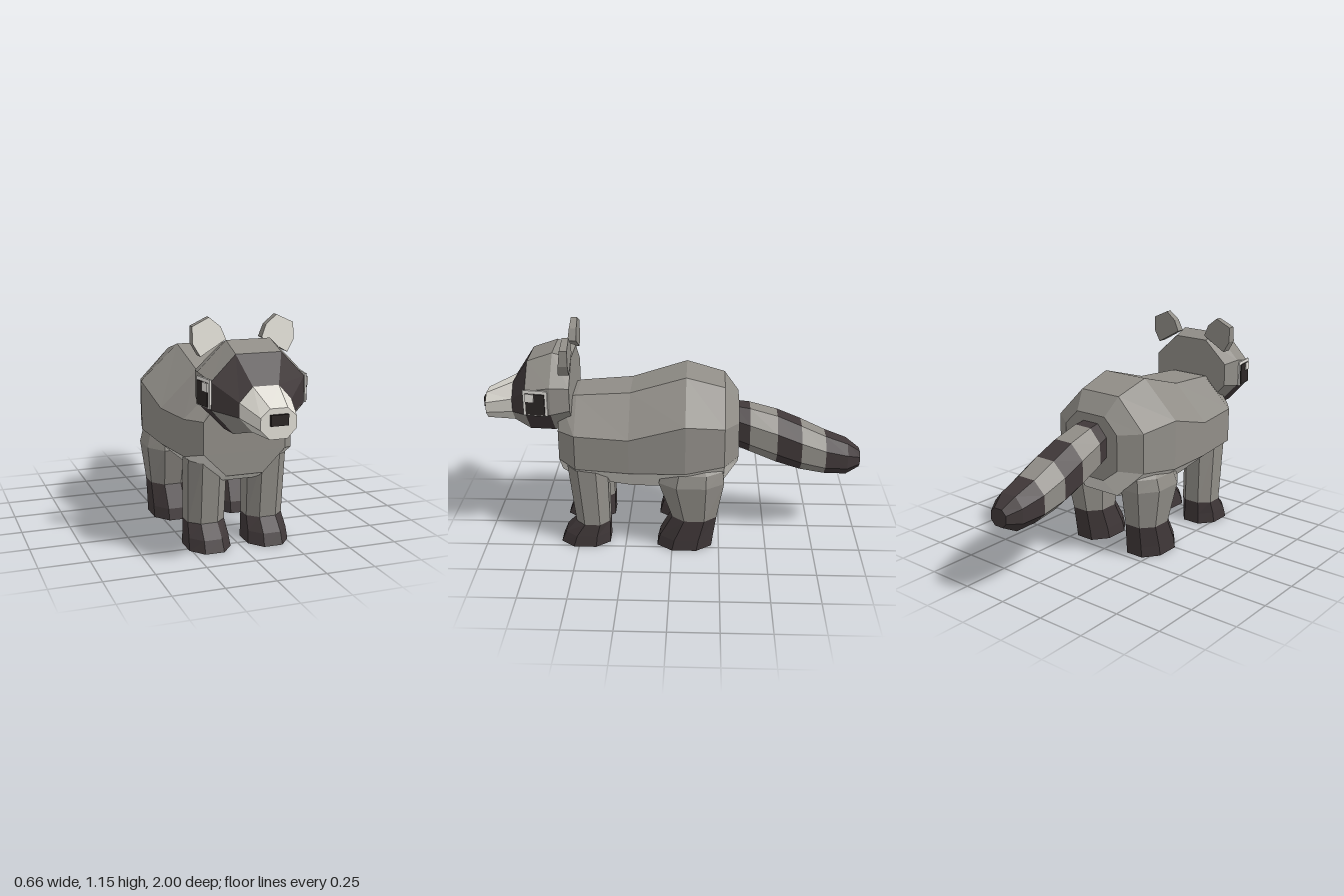
import * as THREE from 'three';

const mat = (name, color) => new THREE.MeshStandardMaterial({ name, color, flatShading: true });

export function createModel() {
  const group = new THREE.Group();
  const palette = [
    mat('greyFur', 0x918e88), mat('darkFur', 0x403839), mat('lightFur', 0xe2dfd7),
    mat('black', 0x2c2726), mat('eyeWhite', 0xeeebe6),
  ];
  const [GREY, DARK, LIGHT, BLACK, WHITE] = [0, 1, 2, 3, 4];

  const add = (name, geometry, material = palette) => {
    const mesh = new THREE.Mesh(geometry, material);
    mesh.name = name;
    group.add(mesh);
    return mesh;
  };

  // Skins a row of rings; paint(segment, side) picks the colour, segment -1 and last are caps
  const loft = (rings, paint) => {
    const buckets = palette.map(() => []);
    const n = rings[0].length, last = rings.length - 1;
    const tri = (c, ...pts) => pts.forEach((p) => buckets[c].push(...p));
    for (let i = 0; i < last; i++) {
      for (let j = 0; j < n; j++) {
        const k = (j + 1) % n, c = paint(i, j);
        const [p, q, r, s] = [rings[i][j], rings[i][k], rings[i + 1][k], rings[i + 1][j]];
        tri(c, p, q, r);
        tri(c, p, r, s);
      }
    }
    for (let j = 1; j < n - 1; j++) {
      tri(paint(-1, j), rings[0][0], rings[0][j + 1], rings[0][j]);
      tri(paint(last, j), rings[last][0], rings[last][j], rings[last][j + 1]);
    }
    const g = new THREE.BufferGeometry();
    g.setAttribute('position', new THREE.Float32BufferAttribute(buckets.flat(), 3));
    let start = 0;
    buckets.forEach((b, m) => {
      if (b.length) g.addGroup(start, b.length / 3, m);
      start += b.length / 3;
    });
    g.computeVertexNormals();
    return g;
  };

  // Upright octagon: z, half width, half width of top and bottom, four heights
  const ring = ([z, w, t, b, y0, y1, y2, y3]) => [
    [w, y1, z], [w, y2, z], [t, y3, z], [-t, y3, z],
    [-w, y2, z], [-w, y1, z], [-b, y0, z], [b, y0, z],
  ];

  // Body, from rump to chest, with a light belly
  const bodyRings = [
    [-0.345, 0.17, 0.09, 0.08, 0.44, 0.51, 0.70, 0.78],
    [-0.27, 0.28, 0.12, 0.11, 0.34, 0.50, 0.71, 0.875],
    [-0.07, 0.33, 0.13, 0.12, 0.30, 0.48, 0.74, 0.93],
    [0.22, 0.31, 0.12, 0.11, 0.30, 0.47, 0.655, 0.84],
    [0.50, 0.28, 0.11, 0.10, 0.335, 0.475, 0.66, 0.82],
    [0.59, 0.21, 0.095, 0.095, 0.385, 0.50, 0.66, 0.80],
  ].map(ring);
  add('body', loft(bodyRings, (i, j) => (i >= 0 && i < 5 && j >= 5 ? LIGHT : GREY)));

  // Head with mask, dark jaw and light muzzle
  add('head', loft([
    [0.52, 0.23, 0.10, 0.10, 0.64, 0.78, 0.90, 1.02],
    [0.615, 0.25, 0.11, 0.12, 0.63, 0.765, 0.91, 1.05],
    [0.745, 0.23, 0.112, 0.12, 0.635, 0.755, 0.885, 1.005],
    [0.835, 0.127, 0.063, 0.063, 0.66, 0.73, 0.80, 0.87],
    [0.985, 0.086, 0.042, 0.042, 0.66, 0.705, 0.76, 0.80],
  ].map(ring), (i, j) => {
    if (i >= 3) return LIGHT;
    if (i === 2) return j <= 4 ? DARK : GREY;
    return i === 1 && j >= 5 ? DARK : GREY;
  }));

  const nose = add('nose', new THREE.BoxGeometry(0.084, 0.05, 0.03), palette[BLACK]);
  nose.position.set(0, 0.748, 0.985);

  // Ringed tail, tip first
  add('tail', loft([
    [-1.0, 0.05, 0.025, 0.025, 0.39, 0.415, 0.455, 0.48],
    [-0.93, 0.09, 0.045, 0.045, 0.355, 0.405, 0.48, 0.53],
    [-0.81, 0.115, 0.05, 0.05, 0.36, 0.42, 0.515, 0.575],
    [-0.68, 0.128, 0.055, 0.055, 0.385, 0.455, 0.565, 0.635],
    [-0.55, 0.125, 0.052, 0.052, 0.425, 0.50, 0.615, 0.69],
    [-0.405, 0.113, 0.05, 0.05, 0.485, 0.55, 0.66, 0.73],
    [-0.33, 0.10, 0.045, 0.045, 0.515, 0.575, 0.68, 0.74],
  ].map(ring), (i) => (i === 2 || i === 4 ? GREY : DARK)));

  // Flat octagon for a leg: height, x range, z range
  const legRing = (s) => ([y, x0, x1, z0, z1]) => {
    const cx = s * (x0 + x1) / 2, cz = (z0 + z1) / 2, w = (x1 - x0) / 2, d = (z1 - z0) / 2;
    return [[1, 0.45], [1, -0.45], [0.45, -1], [-0.45, -1], [-1, -0.45], [-1, 0.45], [-0.45, 1], [0.45, 1]]
      .map(([u, v]) => [cx + u * w, y, cz + v * d]);
  };
  const frontLeg = [
    [0, 0.047, 0.262, 0.335, 0.60],
    [0.06, 0.053, 0.258, 0.335, 0.575],
    [0.127, 0.06, 0.25, 0.335, 0.515],
    [0.455, 0.055, 0.255, 0.34, 0.55],
    [0.48, 0.065, 0.245, 0.355, 0.535],
  ];
  const hindLeg = [
    [0, 0.065, 0.285, -0.21, 0.08],
    [0.06, 0.068, 0.285, -0.218, 0.065],
    [0.177, 0.08, 0.283, -0.235, 0.0],
    [0.385, 0.07, 0.312, -0.272, 0.07],
    [0.45, 0.08, 0.295, -0.265, 0.05],
    [0.50, 0.11, 0.25, -0.215, -0.02],
  ];

  const earShape = (s) => new THREE.Shape([
    [0.255, 1.11], [0.17, 1.15], [0.115, 1.105], [0.09, 1.045], [0.22, 0.97], [0.255, 1.03],
  ].map(([x, y]) => new THREE.Vector2(s * x, y)));

  for (const s of [1, -1]) {
    const side = s > 0 ? 'left' : 'right';
    add(side + 'FrontLeg', loft(frontLeg.map(legRing(s)), (i) => (i < 2 ? DARK : GREY)));
    add(side + 'HindLeg', loft(hindLeg.map(legRing(s)), (i) => (i < 2 ? DARK : GREY)));

    // Ear, thinner towards the top, light on the front face only
    const ear = new THREE.ExtrudeGeometry(earShape(s), { depth: 0.055, bevelEnabled: false });
    const pos = ear.attributes.position;
    for (let i = 0; i < pos.count; i++) {
      if (pos.getZ(i) > 0.01) pos.setZ(i, 0.055 - (pos.getY(i) - 0.97) * 0.12);
    }
    ear.translate(0, 0, 0.517);
    ear.computeVertexNormals();
    const half = ear.groups[0].count / 2;
    ear.clearGroups();
    ear.addGroup(0, half, GREY);
    ear.addGroup(half, half, LIGHT);
    ear.addGroup(half * 2, pos.count - half * 2, GREY);
    add(side + 'Ear', ear);

    // Eye: thin stacked plates lying on the slanted cheek
    const eye = new THREE.Group();
    eye.name = side + 'Eye';
    const plate = (name, m, x, y, z, h, d) => {
      const mesh = new THREE.Mesh(new THREE.BoxGeometry(0.008, h, d), palette[m]);
      mesh.name = name;
      mesh.position.set(s * x, y, z);
      eye.add(mesh);
    };
    plate('eyeWhite', WHITE, 0.004, 0, 0, 0.135, 0.127);
    plate('pupil', BLACK, 0.01, -0.005, -0.001, 0.112, 0.1);
    plate('glint', WHITE, 0.014, 0.03, 0.027, 0.042, 0.045);
    eye.position.set(s * 0.2405, 0.828, 0.69);
    eye.rotation.y = -s * 0.153;
    group.add(eye);
  }
  return group;
}
